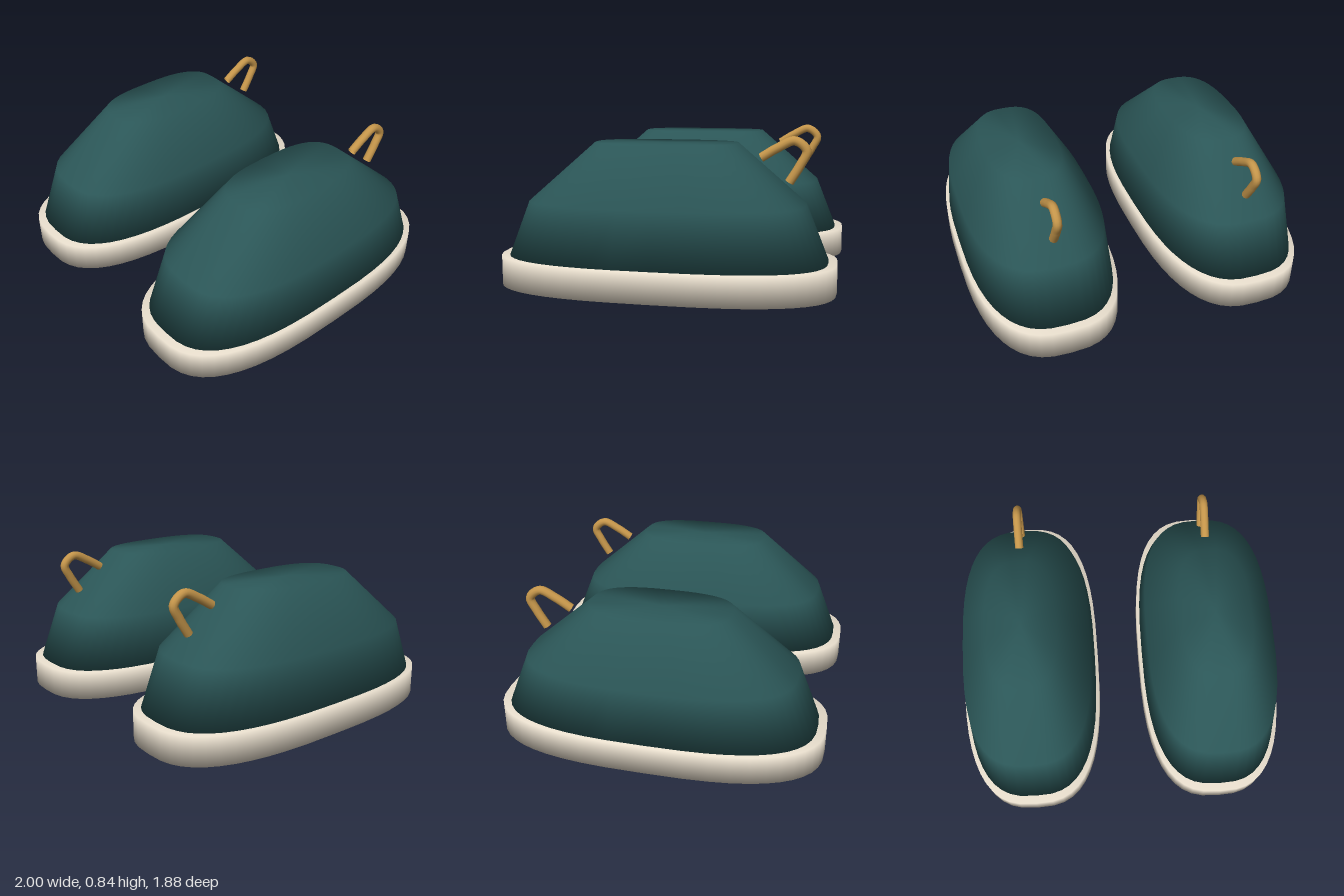
import * as THREE from 'three';

const SEGMENTS = 48;
const ROUNDNESS = 2 / 2.8; // superellipse power for the footprint

const material = (color) => new THREE.MeshStandardMaterial({ color, side: THREE.DoubleSide });

// Closed, smooth-shaded solid lofted through rings [y, half width, half length].
function loft(rings) {
  const pos = [], index = [];
  const bend = (v) => Math.sign(v) * Math.abs(v) ** ROUNDNESS;
  for (const [y, w, l] of rings) {
    for (let i = 0; i < SEGMENTS; i++) {
      const a = (i / SEGMENTS) * Math.PI * 2;
      pos.push(w * bend(Math.cos(a)), y, l * bend(Math.sin(a)));
    }
  }
  const bottom = rings.length * SEGMENTS, top = bottom + 1;
  pos.push(0, rings[0][0], 0, 0, rings[rings.length - 1][0], 0);
  for (let i = 0; i < SEGMENTS; i++) {
    const j = (i + 1) % SEGMENTS;
    for (let r = 0; r < rings.length - 1; r++) {
      const a = r * SEGMENTS, b = a + SEGMENTS;
      index.push(a + i, b + i, a + j, a + j, b + i, b + j);
    }
    const t = (rings.length - 1) * SEGMENTS;
    index.push(bottom, i, j, top, t + j, t + i);
  }
  const geo = new THREE.BufferGeometry();
  geo.setAttribute('position', new THREE.Float32BufferAttribute(pos, 3));
  geo.setIndex(index);
  geo.computeVertexNormals();
  return geo;
}

export function createModel() {
  const model = new THREE.Group();
  const cream = material(0xe6dccb);
  const teal = material(0x2b5657);
  const tan = material(0xc4954a);

  const soleGeo = loft([[0, 0.433, 0.938], [0.167, 0.433, 0.938]]);
  const upperGeo = loft([[0.16, 0.414, 0.893], [0.475, 0.39, 0.767], [0.8, 0.208, 0.395]]);

  // Bent pull loop at the heel, as [y, z] points
  const path = new THREE.CatmullRomCurve3(
    [[0.725, -0.52], [0.78, -0.61], [0.817, -0.7], [0.765, -0.762], [0.69, -0.73], [0.595, -0.672]]
      .map(([y, z]) => new THREE.Vector3(0, y, z)));
  const loopGeo = new THREE.TubeGeometry(path, 40, 0.025, 12);

  for (const [side, name] of [[1, 'left'], [-1, 'right']]) {
    const shoe = new THREE.Group();
    shoe.name = name + 'Shoe';
    shoe.position.x = side * 0.567;
    for (const [part, geo, mat] of [
      ['sole', soleGeo, cream], ['upper', upperGeo, teal], ['heelLoop', loopGeo, tan],
    ]) {
      const mesh = new THREE.Mesh(geo, mat);
      mesh.name = part;
      shoe.add(mesh);
    }
    model.add(shoe);
  }
  return model;
}
